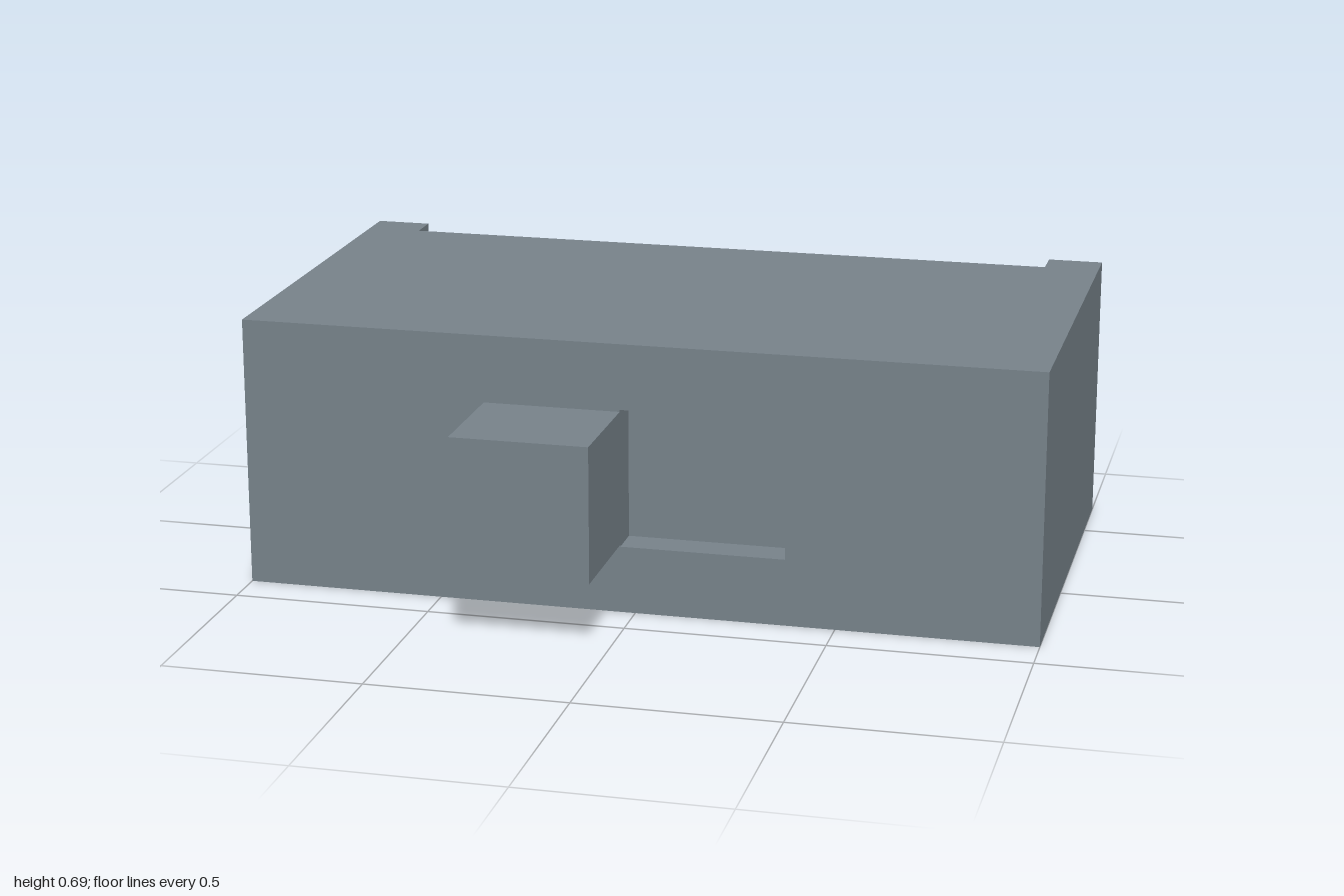
import * as THREE from 'three';

const HEIGHT = 0.685;
const FRONT = 0.39;      // front face of the housing
const RECESS = 0.305;    // back wall of the slot
const BACK = -0.6;       // rear wall between the feet
const REAR = -0.685;     // ends of the feet

export function createModel() {
  const group = new THREE.Group();
  group.name = 'slideSwitch';
  const grey = new THREE.MeshStandardMaterial({ color: 0x77828a, flatShading: true });
  grey.name = 'slate grey';

  const add = (name, geometry) => {
    const mesh = new THREE.Mesh(geometry, grey);
    mesh.name = name;
    group.add(mesh);
    return mesh;
  };
  const outline = (points) => points.map(([x, y]) => new THREE.Vector2(x, y));

  // Housing with two rear feet: footprint extruded upwards (shape y is -z)
  const footprint = new THREE.Shape(outline([
    [-1, -RECESS], [1, -RECESS], [1, -REAR], [0.86, -REAR],
    [0.86, -BACK], [-0.86, -BACK], [-0.86, -REAR], [-1, -REAR],
  ]));
  const housing = new THREE.ExtrudeGeometry(footprint, { depth: HEIGHT, bevelEnabled: false });
  housing.rotateX(-Math.PI / 2);
  add('housing', housing);

  // Front wall pierced by the shallow slot beside the slider
  const wall = new THREE.Shape(outline([[-1, 0], [1, 0], [1, HEIGHT], [-1, HEIGHT]]));
  wall.holes.push(new THREE.Path(outline([
    [-0.037, 0.17], [-0.037, 0.52], [0.375, 0.52], [0.375, 0.17],
  ])));
  const front = new THREE.ExtrudeGeometry(wall, { depth: FRONT - RECESS, bevelEnabled: false });
  front.translate(0, 0, RECESS);
  add('frontWall', front);

  // Slider knob, rooted at the back of the slot
  const knob = add('sliderKnob', new THREE.BoxGeometry(0.343, 0.34, 0.685 - RECESS));
  knob.position.set(-0.2085, 0.345, (0.685 + RECESS) / 2);

  return group;
}
